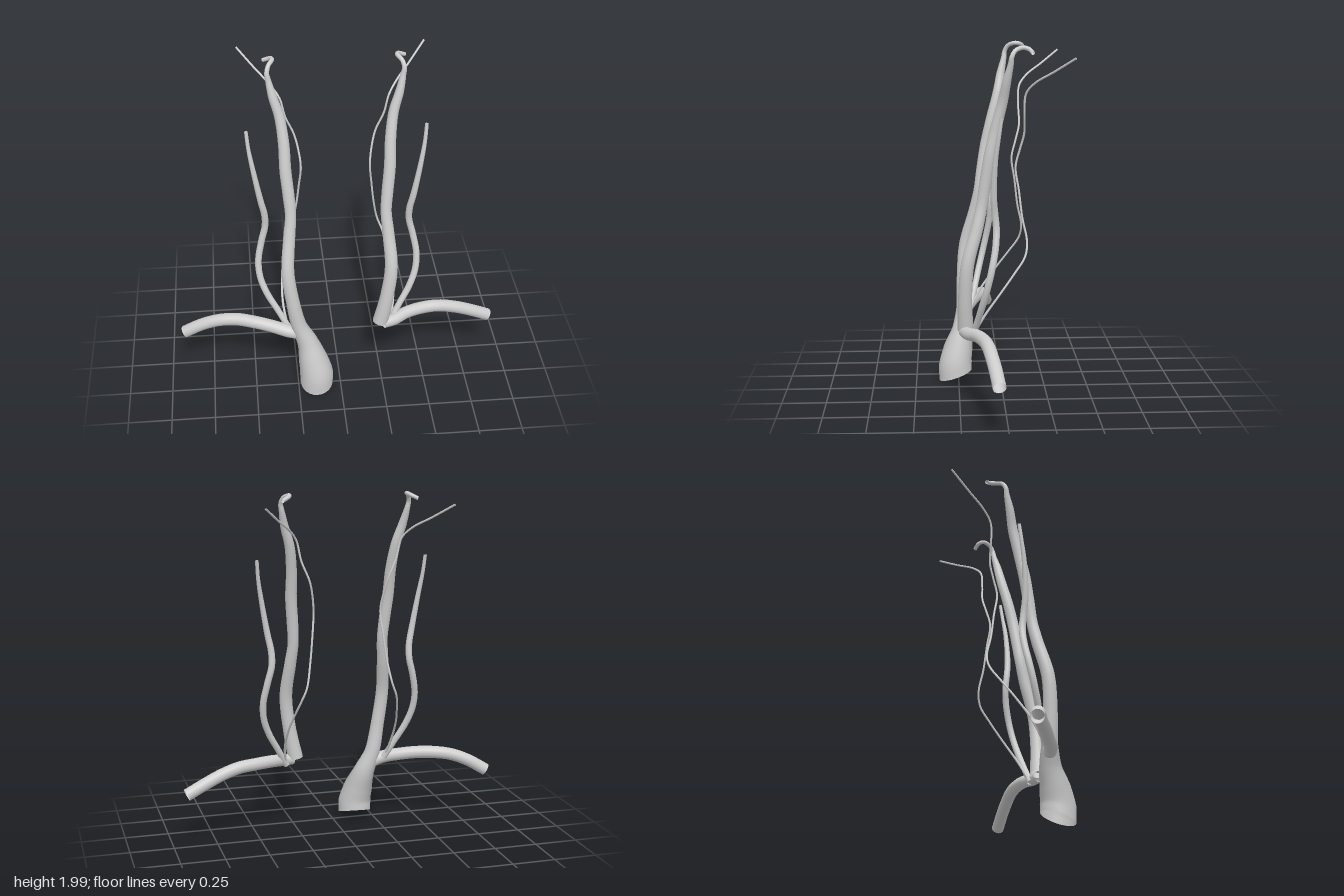
import * as THREE from 'three';

// Walls are thin and open-ended, so both sides show
const vessel = new THREE.MeshStandardMaterial({ color: 0xcccccc, side: THREE.DoubleSide });
vessel.name = 'pale grey';

// Open tapered tube through rows of [x, y, z, radius];
// tilt slants the first rim down towards the front
function taperedTube(name, rows, sides = 20, tilt = 0) {
  const curve = new THREE.CatmullRomCurve3(rows.map(r => new THREE.Vector3(r[0], r[1], r[2])));
  // spread rings evenly between rows so radii line up with the points
  curve.getPointAt = (t, target) => curve.getPoint(t, target);
  curve.getTangentAt = (t, target) => curve.getTangent(t, target);
  const segs = (rows.length - 1) * 6;
  const geo = new THREE.TubeGeometry(curve, segs, 1, sides, false);
  const pos = geo.attributes.position;
  const v = new THREE.Vector3(), centre = new THREE.Vector3();
  for (let i = 0; i <= segs; i++) {
    const t = i / segs, f = t * (rows.length - 1);
    const k = Math.min(Math.floor(f), rows.length - 2);
    const radius = THREE.MathUtils.lerp(rows[k][3], rows[k + 1][3], f - k);
    const slant = tilt * Math.max(0, 1 - f / 2);
    curve.getPoint(t, centre);
    for (let j = 0; j <= sides; j++) {
      const n = i * (sides + 1) + j;
      v.fromBufferAttribute(pos, n).sub(centre).multiplyScalar(radius);
      v.y -= v.z * slant;
      v.add(centre);
      pos.setXYZ(n, v.x, v.y, v.z);
    }
  }
  const mesh = new THREE.Mesh(geo, vessel);
  mesh.name = name;
  return mesh;
}

// Rows below are for the right (-x) side; the left side mirrors them
const flaredBase = [
  [-0.143, 0.038, 0.268, 0.096], [-0.145, 0.11, 0.268, 0.098],
  [-0.163, 0.2, 0.25, 0.085], [-0.19, 0.3, 0.225, 0.062],
];
const mainStem = [
  [-0.238, 0.42, 0.215, 0.045], [-0.272, 0.6, 0.217, 0.039], [-0.295, 0.8, 0.203, 0.037],
  [-0.28, 1.0, 0.15, 0.034], [-0.268, 1.13, 0.122, 0.031], [-0.275, 1.25, 0.104, 0.033],
  [-0.288, 1.4, 0.08, 0.033], [-0.292, 1.55, 0.047, 0.031], [-0.31, 1.7, 0.01, 0.028],
  [-0.342, 1.81, -0.01, 0.024], [-0.362, 1.9, -0.03, 0.016], [-0.368, 1.94, -0.036, 0.013],
  [-0.358, 1.973, -0.055, 0.012], [-0.336, 1.988, -0.095, 0.012], [-0.345, 1.982, -0.126, 0.012],
  [-0.384, 1.962, -0.148, 0.011],
];
const middleBranch = [
  [-0.3, 0.39, 0.18, 0.018], [-0.36, 0.5, 0.15, 0.018], [-0.415, 0.6, 0.125, 0.019],
  [-0.45, 0.7, 0.1, 0.019], [-0.457, 0.8, 0.077, 0.019], [-0.435, 0.92, 0.055, 0.019],
  [-0.411, 1.02, 0.049, 0.019], [-0.411, 1.1, 0.056, 0.019], [-0.43, 1.2, 0.064, 0.018],
  [-0.465, 1.4, 0.056, 0.014], [-0.484, 1.52, 0.04, 0.011], [-0.493, 1.625, 0.025, 0.01],
];
const thinBranch = [
  [-0.305, 0.4, 0.175, 0.007], [-0.325, 0.52, 0.11, 0.007], [-0.322, 0.65, 0.018, 0.006],
  [-0.303, 0.75, -0.055, 0.006], [-0.28, 0.84, -0.115, 0.006], [-0.25, 0.92, -0.128, 0.006],
  [-0.225, 1.05, -0.103, 0.006], [-0.207, 1.2, -0.085, 0.006], [-0.195, 1.33, -0.067, 0.006],
  [-0.206, 1.43, -0.09, 0.006], [-0.228, 1.52, -0.112, 0.006], [-0.273, 1.63, -0.11, 0.006],
  [-0.3, 1.74, -0.116, 0.006], [-0.345, 1.8, -0.16, 0.006], [-0.43, 1.865, -0.255, 0.006],
  [-0.522, 1.94, -0.36, 0.006],
];
const rightArm = [
  [-0.228, 0.356, 0.212, 0.034], [-0.3, 0.382, 0.212, 0.038], [-0.4, 0.402, 0.18, 0.037],
  [-0.5, 0.414, 0.148, 0.037], [-0.6, 0.415, 0.115, 0.037], [-0.7, 0.4, 0.094, 0.036],
  [-0.8, 0.362, 0.075, 0.036], [-0.91, 0.298, 0.057, 0.036],
];
const leftArm = [
  [0.255, 0.41, 0.222, 0.032], [0.32, 0.415, 0.2, 0.035], [0.4, 0.426, 0.155, 0.036],
  [0.5, 0.427, 0.12, 0.036], [0.6, 0.42, 0.1, 0.036], [0.7, 0.392, 0.085, 0.036],
  [0.8, 0.35, 0.07, 0.036], [0.912, 0.296, 0.056, 0.036],
];

const mirror = rows => rows.map(([x, y, z, r]) => [-x, y, z, r]);

export function createModel() {
  const model = new THREE.Group();
  model.name = 'branchingVessels';

  // Right stem continues down into the flared base; left stem stops at its arm
  model.add(
    taperedTube('rightStem', [...flaredBase, ...mainStem], 24, 0.33),
    taperedTube('leftStem', mirror(mainStem), 24),
    taperedTube('rightArm', rightArm),
    taperedTube('leftArm', leftArm),
  );

  // Side branches, one pair on each side
  for (const [side, place] of [['right', rows => rows], ['left', mirror]]) {
    model.add(
      taperedTube(side + 'MiddleBranch', place(middleBranch), 16),
      taperedTube(side + 'ThinBranch', place(thinBranch), 10),
    );
  }
  return model;
}
